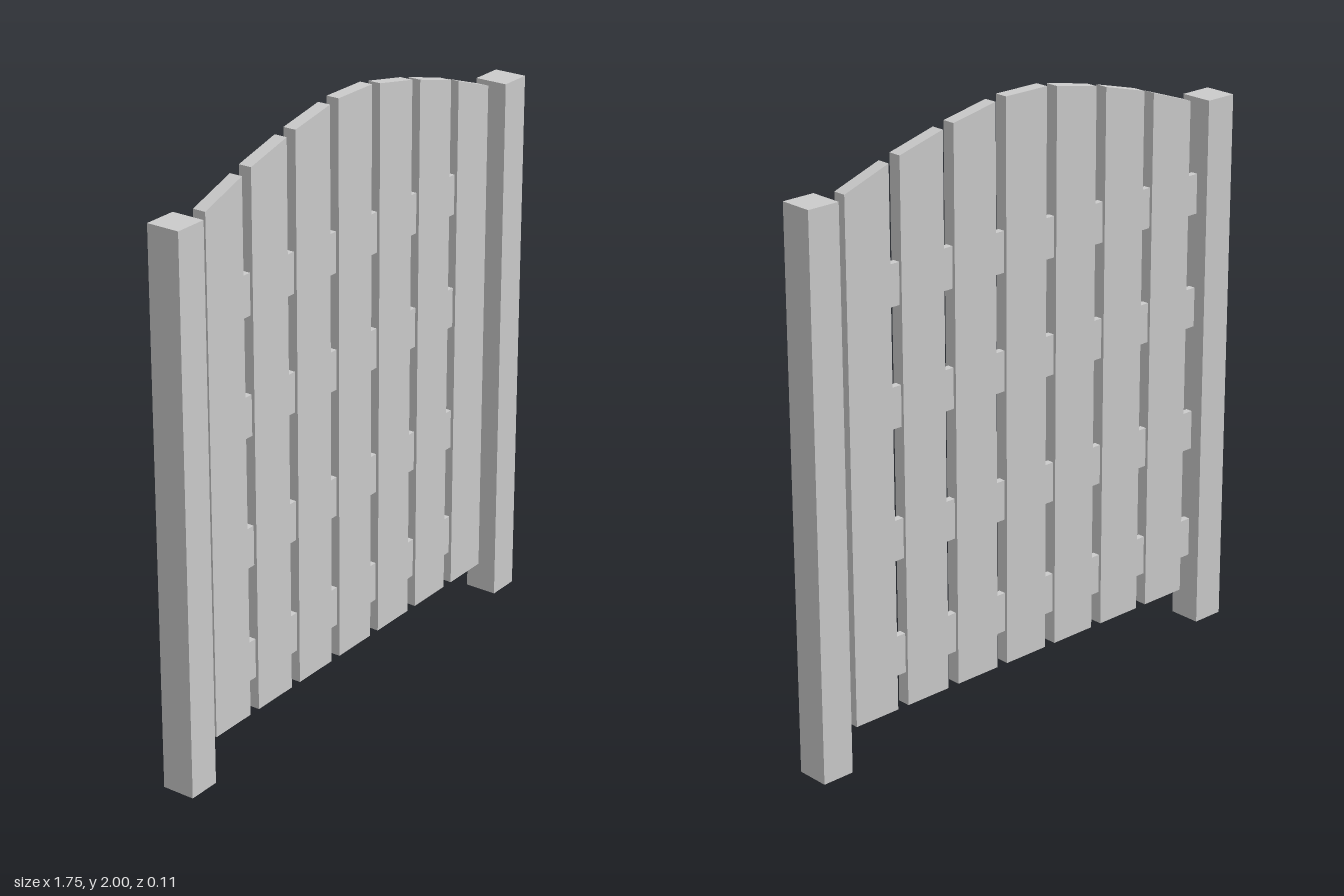
import * as THREE from 'three';

const material = new THREE.MeshStandardMaterial({ color: 0xcccccc });
const openMaterial = new THREE.MeshStandardMaterial({ color: 0xcccccc, side: THREE.DoubleSide });

function addMesh(group, name, geometry, mat = material) {
  const mesh = new THREE.Mesh(geometry, mat);
  mesh.name = name;
  group.add(mesh);
  return mesh;
}

// Square post with an open underside
function postGeometry(width, height) {
  const geometry = new THREE.BoxGeometry(width, height, width);
  const index = Array.from(geometry.index.array);
  index.splice(18, 6); // drop the bottom face
  geometry.setIndex(index);
  geometry.clearGroups();
  return geometry;
}

// Upright board whose top edge slopes from leftTop to rightTop
function plankGeometry(width, bottom, leftTop, rightTop, depth) {
  const shape = new THREE.Shape([
    new THREE.Vector2(-width / 2, bottom),
    new THREE.Vector2(width / 2, bottom),
    new THREE.Vector2(width / 2, rightTop),
    new THREE.Vector2(-width / 2, leftTop),
  ]);
  return new THREE.ExtrudeGeometry(shape, { depth, bevelEnabled: false }).translate(0, 0, -depth / 2);
}

export function createModel() {
  const gate = new THREE.Group();
  gate.name = 'gate';

  // Gate posts
  for (const side of [-1, 1]) {
    const post = addMesh(gate, side > 0 ? 'leftPost' : 'rightPost', postGeometry(0.112, 1.83), openMaterial);
    post.position.set(side * 0.819, 0.915, 0);
  }

  // Planks, stepping down in an arch: [inner top, outer top] from the middle out
  const tops = [[2, 2], [1.992, 1.96], [1.949, 1.905], [1.89, 1.832]];
  for (let i = -3; i <= 3; i++) {
    const [inner, outer] = tops[Math.abs(i)];
    const [left, right] = i < 0 ? [outer, inner] : [inner, outer];
    const plank = addMesh(gate, `plank${i + 4}`, plankGeometry(0.168, 0.125, left, right, 0.044));
    plank.position.x = i * 0.21;
  }

  // Cross rails, from the right post into the last plank
  const railStart = -0.765, railEnd = 0.63;
  [0.303, 0.692, 1.125, 1.512].forEach((y, i) => {
    const rail = addMesh(gate, `rail${i + 1}`, new THREE.BoxGeometry(railEnd - railStart, 0.134, 0.024));
    rail.position.set((railStart + railEnd) / 2, y, 0);
  });

  return gate;
}
